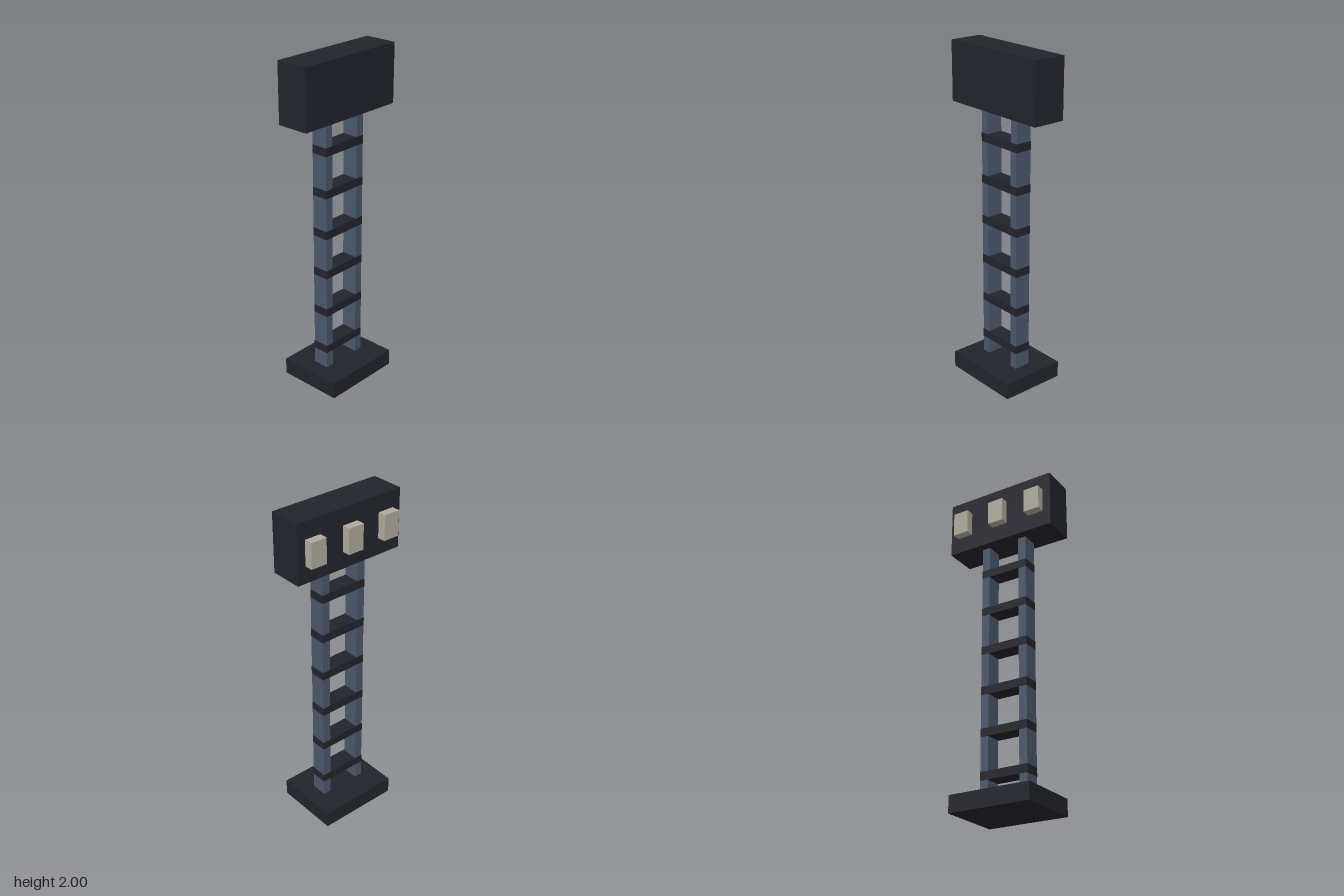
import * as THREE from 'three';

export function createModel() {
  const model = new THREE.Group();
  model.name = 'floodlightTower';

  const darkMetal = new THREE.MeshStandardMaterial({ name: 'darkMetal', color: 0x23232d });
  const steelBlue = new THREE.MeshStandardMaterial({ name: 'steelBlue', color: 0x4a586b });
  const lampCream = new THREE.MeshStandardMaterial({ name: 'lampCream', color: 0xb0ab9e });

  // Box placed by its centre in x and z and by its bottom in y
  function addBox(name, material, [w, h, d], [x, bottom, z]) {
    const mesh = new THREE.Mesh(new THREE.BoxGeometry(w, h, d), material);
    mesh.name = name;
    mesh.position.set(x, bottom + h / 2, z);
    model.add(mesh);
  }

  // Base slab and lamp housing
  addBox('base', darkMetal, [0.5, 0.1, 0.4], [0, 0, 0]);
  addBox('lampHousing', darkMetal, [0.7, 0.35, 0.2], [0, 1.65, 0]);

  // Two posts
  for (const side of [-1, 1]) {
    addBox(side > 0 ? 'leftPost' : 'rightPost', steelBlue, [0.05, 1.55, 0.1], [side * 0.125, 0.1, 0]);
  }

  // Rungs, a hair proud of the posts so their bands show cleanly
  for (let i = 0; i < 6; i++) {
    addBox(`rung${i + 1}`, darkMetal, [0.302, 0.05, 0.102], [0, 0.2 + i * 0.25, 0]);
  }

  // Three lamps on the back of the housing
  [-0.25, 0, 0.25].forEach((x, i) => {
    addBox(`lamp${i + 1}`, lampCream, [0.1, 0.15, 0.05], [x, 1.75, -0.125]);
  });

  return model;
}
